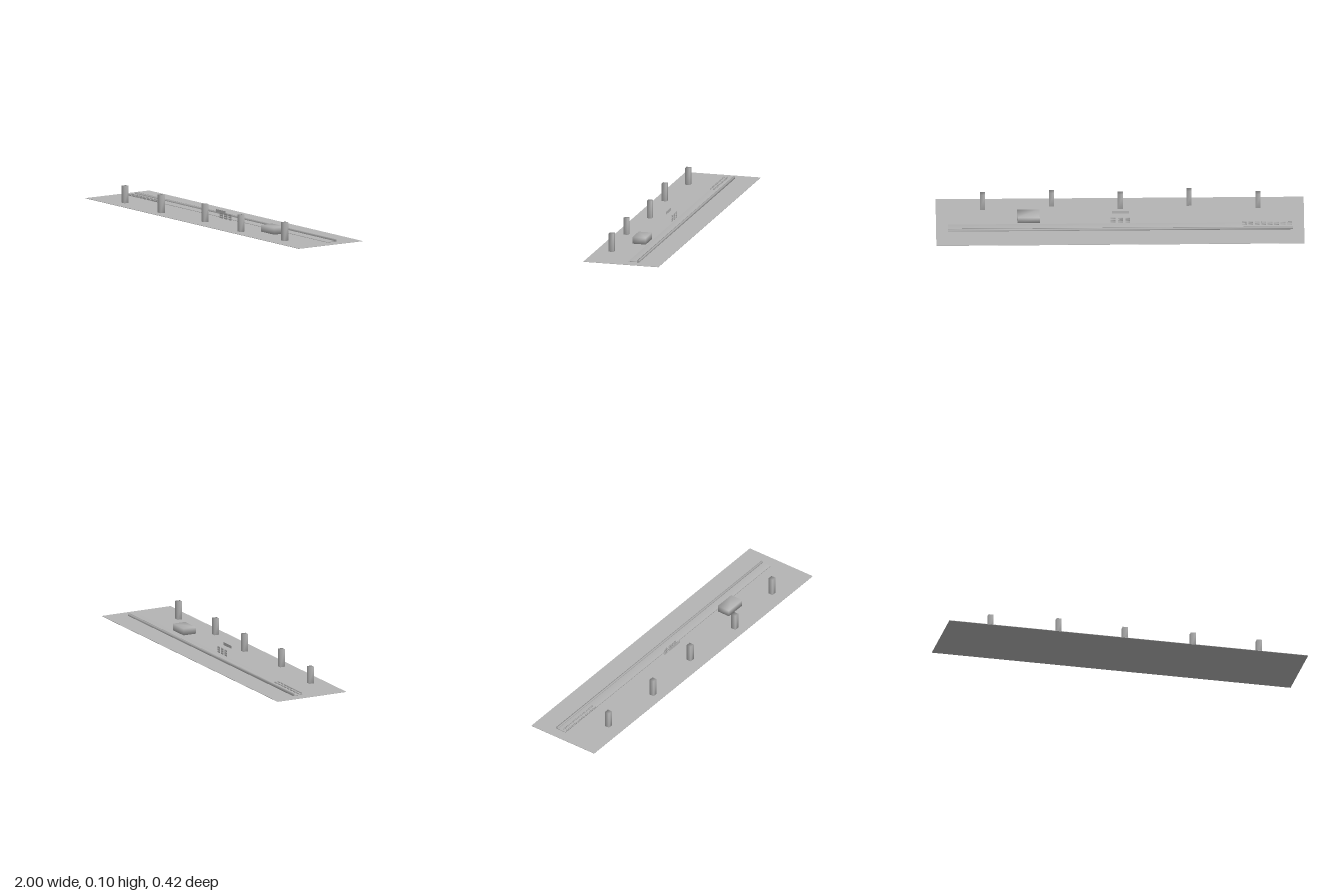
import * as THREE from 'three';
import { mergeVertices } from 'three/addons/utils/BufferGeometryUtils.js';

const concrete = new THREE.MeshStandardMaterial({ color: 0xb4b4b4 });
concrete.name = 'concrete grey';
concrete.side = THREE.DoubleSide;

// Box given by its extents; soft boxes share corner normals
function box(name, [x0, x1], [y0, y1], [z0, z1], soft = true) {
  let g = new THREE.BoxGeometry(x1 - x0, y1 - y0, z1 - z0);
  if (soft) {
    g.deleteAttribute('normal');
    g.deleteAttribute('uv');
    g = mergeVertices(g);
    g.computeVertexNormals();
  }
  const mesh = new THREE.Mesh(g, concrete);
  mesh.position.set((x0 + x1) / 2, (y0 + y1) / 2, (z0 + z1) / 2);
  mesh.name = name;
  return mesh;
}

export function createModel() {
  const model = new THREE.Group();
  model.name = 'stationSite';
  const base = 0.001;

  // Thin ground slab
  model.add(box('ground', [-1, 1], [0, 0.002], [-0.212, 0.212], false));

  // Long low platform with a raised kerb along its back
  model.add(box('platform', [-0.94, 0.935], [base, 0.0055], [-0.083, -0.025]));
  model.add(box('kerb', [-0.94, 0.935], [base, 0.0145], [-0.085, -0.076]));

  // Staggered pillars with slightly varied heights
  const heights = [0.096, 0.101, 0.1, 0.0945, 0.103];
  heights.forEach((h, i) => {
    const x = -0.751 + i * 0.374;
    const z = i % 2 ? 0.15 : 0.125;
    model.add(box('pillar', [x - 0.014, x + 0.014], [base, h], [z - 0.014, z + 0.014]));
  });

  // Low block
  model.add(box('block', [0.436, 0.558], [base, 0.039], [-0.0125, 0.0625]));

  // Two rows of small seats on the left end of the platform
  const seats = new THREE.Group();
  seats.name = 'seats';
  for (let i = 0; i < 8; i++) {
    const x = -0.92 + i * 0.035;
    for (const z of [-0.046, -0.026]) {
      seats.add(box('seat', [x - 0.013, x + 0.013], [0.004, 0.011], [z - 0.002, z + 0.002]));
    }
  }
  model.add(seats);

  // Three by three grid of small panels
  const panels = new THREE.Group();
  panels.name = 'panels';
  for (let col = -1; col <= 1; col++) {
    for (let row = 0; row < 3; row++) {
      const x = -0.002 + col * 0.04, y = 0.0065 + row * 0.012;
      panels.add(box('panel', [x - 0.0135, x + 0.0135], [y - 0.0045, y + 0.0045], [-0.0135, -0.011]));
    }
  }
  model.add(panels);

  // Flat upright board above the panels
  const board = new THREE.Mesh(new THREE.PlaneGeometry(0.092, 0.016), concrete);
  board.name = 'board';
  board.position.set(-0.002, 0.047, 0.02);
  model.add(board);

  return model;
}
